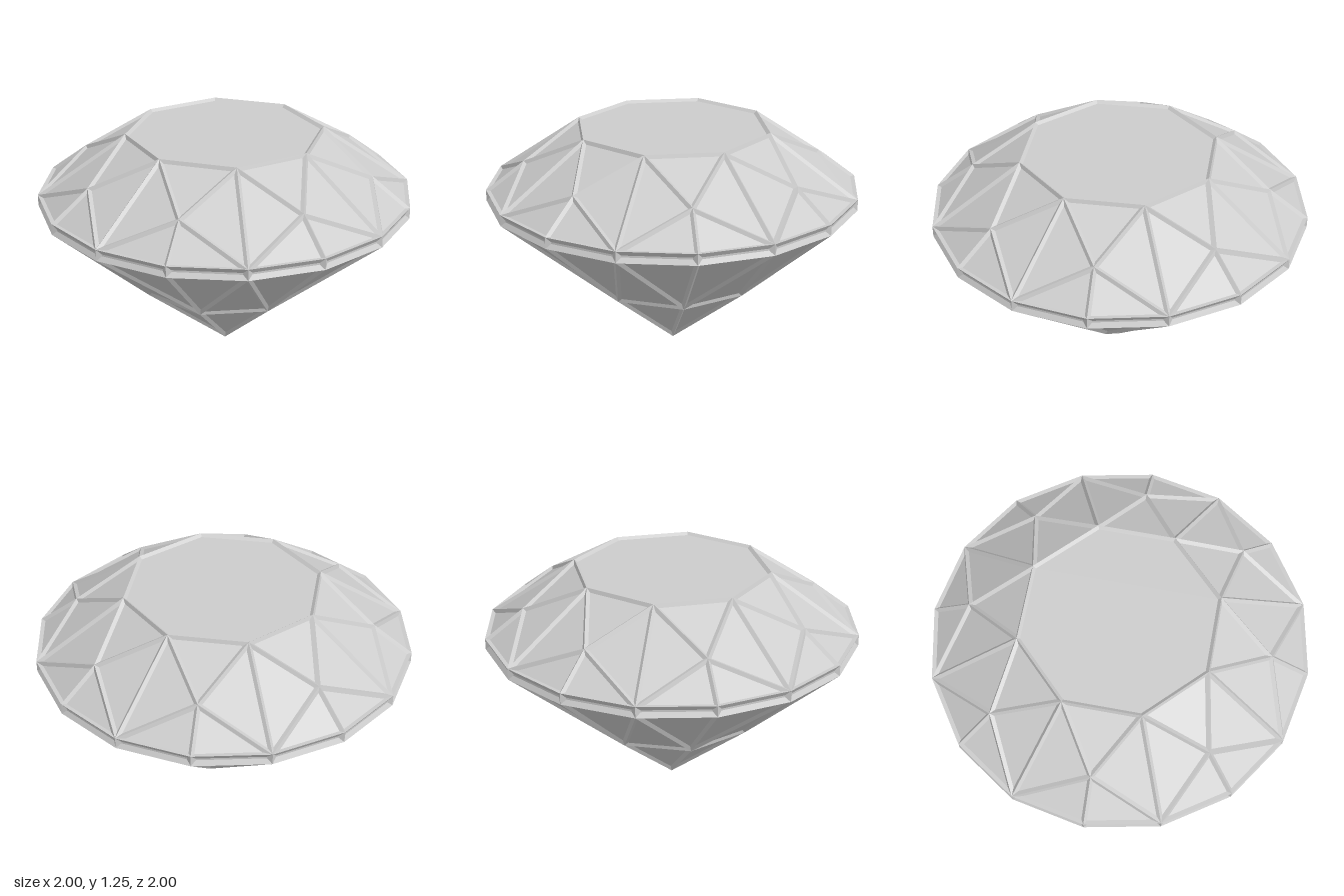
import * as THREE from 'three';

const CENTRE = new THREE.Vector3(0, 0.85, 0);

// Point on a ring: step counts sixteenths of a turn
const ringPoint = (radius, y, step) => {
  const a = (step * Math.PI) / 8;
  return new THREE.Vector3(radius * Math.sin(a), y, radius * Math.cos(a));
};

// One facet: a sunken flat panel framed by slopes that rise to the raised edges
function addFacet(out, points, inset, depth) {
  const normalOf = (p) => p[1].clone().sub(p[0]).cross(p[2].clone().sub(p[0])).normalize();
  let normal = normalOf(points);
  const mid = points.reduce((s, p) => s.add(p), new THREE.Vector3()).divideScalar(points.length);
  if (normal.dot(mid.sub(CENTRE)) < 0) {
    points = [...points].reverse();
    normal = normalOf(points);
  }
  const n = points.length;
  const inner = points.map((p, i) => {
    const a = points[(i + 1) % n].clone().sub(p).normalize();
    const b = points[(i + n - 1) % n].clone().sub(p).normalize();
    const reach = inset / a.clone().cross(b).length();
    return p.clone().addScaledVector(a.add(b), reach).addScaledVector(normal, -depth);
  });
  const tri = (...corners) => corners.forEach((c) => out.push(c.x, c.y, c.z));
  for (let i = 0; i < n; i++) {
    const j = (i + 1) % n;
    tri(points[i], points[j], inner[j]);
    tri(points[i], inner[j], inner[i]);
    if (i > 0 && i < n - 1) tri(inner[0], inner[i], inner[i + 1]);
  }
}

function facetMesh(name, facets, material, inset = 0.016, depth = 0.014) {
  const out = [];
  facets.forEach((f) => addFacet(out, f, inset, depth));
  const geometry = new THREE.BufferGeometry();
  geometry.setAttribute('position', new THREE.Float32BufferAttribute(out, 3));
  geometry.computeVertexNormals();
  const mesh = new THREE.Mesh(geometry, material);
  mesh.name = name;
  return mesh;
}

export function createModel() {
  const stone = new THREE.MeshStandardMaterial({ color: 0xcccccc });
  stone.name = 'pale grey stone';

  // Rings of corner points, from the table down to the tip
  const table = (k) => ringPoint(0.527, 1.25, k);
  const star = (k) => ringPoint(0.795, 1.08, k);
  const girdleTop = (k) => ringPoint(1, 0.925, k);
  const girdleBottom = (k) => ringPoint(1, 0.865, k);
  const lower = (k) => ringPoint(0.467, 0.385, k);
  const tip = new THREE.Vector3(0, 0, 0);

  const tableFacet = [];
  const crown = [];
  const girdle = [];
  const pavilion = [];
  for (let k = 0; k < 16; k += 2) {
    tableFacet.push(table(k + 1));
    // Star facet between two table corners
    crown.push([table(k - 1), table(k + 1), star(k)]);
    // Mirrored halves of the kites, rim facets and lower facets
    for (const s of [-1, 1]) {
      crown.push([table(k + s), star(k), girdleTop(k + s)]);
      crown.push([star(k), girdleTop(k), girdleTop(k + s)]);
      pavilion.push([girdleBottom(k), girdleBottom(k + s), lower(k)]);
      girdle.push([girdleTop(k), girdleTop(k + s), girdleBottom(k + s), girdleBottom(k)]);
    }
    pavilion.push([girdleBottom(k + 1), lower(k), lower(k + 2)]);
    pavilion.push([lower(k), lower(k + 2), tip]);
  }

  const group = new THREE.Group();
  group.name = 'cutGem';
  group.add(
    facetMesh('table', [tableFacet], stone),
    facetMesh('crown', crown, stone),
    facetMesh('girdle', girdle, stone, 0.025, 0.015),
    facetMesh('pavilion', pavilion, stone),
  );
  return group;
}
